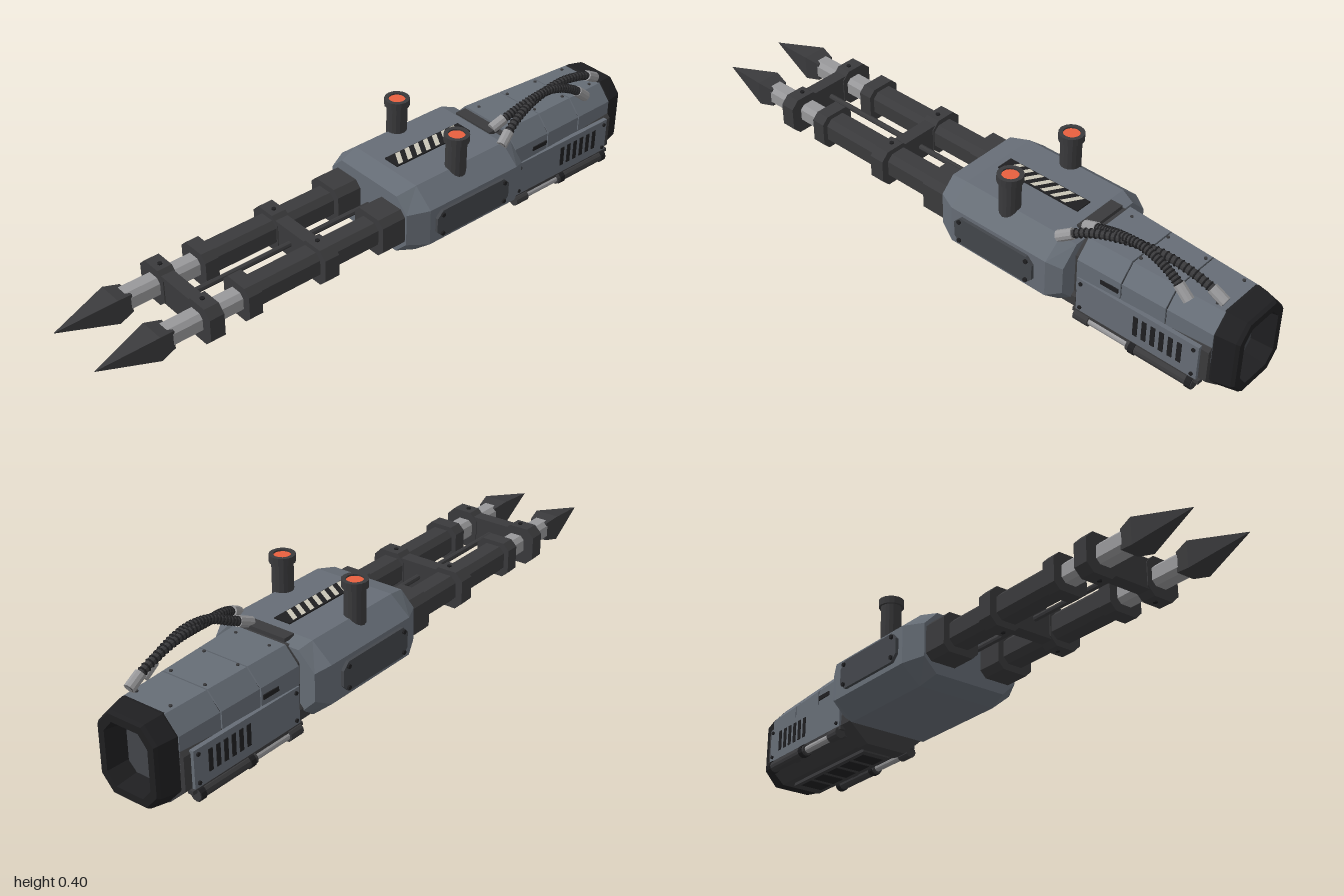
import * as THREE from 'three';

const mat = (color) => new THREE.MeshStandardMaterial({ color, flatShading: true });
const SLATE = mat(0x666d76), DARK = mat(0x3a3a3c), BLACK = mat(0x1f1f21);
const STEEL = mat(0x98989a), ORANGE = mat(0xe8603f), CREAM = mat(0xc9c5b6);
const PANEL = mat(0x43464b);

// Chamfered rectangle, counter-clockwise seen from the front
function oct(w, y0, y1, cx, cy = cx, bx = cx, by = cy, x = 0) {
  return [[w, y0 + by], [w, y1 - cy], [w - cx, y1], [cx - w, y1],
    [-w, y1 - cy], [-w, y0 + by], [bx - w, y0], [w - bx, y0]].map(([px, py]) => [px + x, py]);
}

// Skin over [z, outline] rings listed from front to back; both ends closed
function loft(rings) {
  const pos = [];
  const put = (r, j) => pos.push(...rings[r][1][j], rings[r][0]);
  const n = rings[0][1].length, last = rings.length - 1;
  for (let r = 0; r < last; r++) {
    for (let j = 0; j < n; j++) {
      const k = (j + 1) % n;
      put(r, j); put(r + 1, j); put(r + 1, k);
      put(r, j); put(r + 1, k); put(r, k);
    }
  }
  for (let j = 1; j < n - 1; j++) {
    put(0, 0); put(0, j); put(0, j + 1);
    put(last, 0); put(last, j + 1); put(last, j);
  }
  const g = new THREE.BufferGeometry();
  g.setAttribute('position', new THREE.Float32BufferAttribute(pos, 3));
  g.computeVertexNormals();
  return g;
}

export function createModel() {
  const model = new THREE.Group();
  const add = (name, geo, material, x = 0, y = 0, z = 0) => {
    const m = new THREE.Mesh(geo, material);
    m.name = name;
    m.position.set(x, y, z);
    model.add(m);
    return m;
  };
  const box = (name, material, w, h, d, x, y, z) => add(name, new THREE.BoxGeometry(w, h, d), material, x, y, z);
  // Cylinder lying along z between two depths
  const rod = (name, material, r, x, y, z0, z1, sides = 12) =>
    add(name, new THREE.CylinderGeometry(r, r, Math.abs(z1 - z0), sides).rotateX(Math.PI / 2), material, x, y, (z0 + z1) / 2);
  // Chamfered block between two depths
  const block = (name, material, w, y0, y1, c, z0, z1, x = 0) =>
    add(name, loft([[z0, oct(w, y0, y1, c, c, c, c, x)], [z1, oct(w, y0, y1, c, c, c, c, x)]]), material);

  // Front housing
  add('frontHousing', loft([
    [-0.015, oct(0.168, 0.08, 0.275, 0.045)],
    [-0.08, oct(0.2, 0.06, 0.29, 0.065, 0.055)],
    [-0.43, oct(0.2, 0.06, 0.29, 0.065, 0.055)],
    [-0.475, oct(0.178, 0.08, 0.275, 0.055)],
  ]), SLATE);
  box('topLatch', DARK, 0.15, 0.012, 0.04, 0, 0.288, -0.455);
  block('neck', DARK, 0.125, 0.03, 0.278, 0.04, -0.46, -0.5);

  // Hazard strip
  box('hazardPlate', BLACK, 0.056, 0.008, 0.296, 0, 0.29, -0.25);
  for (let i = 0; i < 7; i++) {
    const z = -0.392 + i * 0.037;
    const s = new THREE.Shape([[-0.025, -z - 0.03], [0.025, -z - 0.06], [0.025, -z - 0.042], [-0.025, -z - 0.012]]
      .map(([x, y]) => new THREE.Vector2(x, y)));
    add('hazardStripe', new THREE.ShapeGeometry(s).rotateX(-Math.PI / 2), CREAM, 0, 0.2955, 0);
  }

  // Arms, mirrored left and right
  for (const s of [1, -1]) {
    const x = 0.1 * s;
    block('armSocket', DARK, 0.062, 0.115, 0.24, 0.02, 0.07, -0.03, x);
    block('armBarrel', DARK, 0.042, 0.137, 0.221, 0.018, 0.51, 0.06, x);
    block('armCollar', DARK, 0.058, 0.122, 0.235, 0.02, 0.545, 0.5, x);
    block('armPiston', STEEL, 0.031, 0.148, 0.21, 0.013, 0.785, 0.54, x);
    const sq = (h) => [[x + h, 0.177 - h], [x + h, 0.177 + h], [x - h, 0.177 + h], [x - h, 0.177 - h]];
    add('spike', loft([[1, sq(0.0005)], [0.82, sq(0.04)], [0.77, sq(0.03)]]), DARK);
  }
  // Cross braces joining the arms
  for (const [z0, z1] of [[0.285, 0.235], [0.68, 0.632]]) {
    block('braceCore', DARK, 0.15, 0.133, 0.225, 0.02, z0 - 0.003, z1 + 0.003);
    for (const s of [1, -1]) {
      block('braceClamp', DARK, 0.056, 0.117, 0.237, 0.024, z0, z1, 0.109 * s);
      for (const y of [0.117, 0.237])
        add('braceBolt', new THREE.CylinderGeometry(0.007, 0.007, 0.008, 8), BLACK, 0.1 * s, y, (z0 + z1) / 2);
    }
  }
  rod('centreRod', DARK, 0.009, 0, 0.18, -0.02, 0.64, 8);

  for (const s of [1, -1]) {
    // Exhaust stacks
    const sx = 0.131 * s;
    add('stack', new THREE.CylinderGeometry(0.032, 0.032, 0.14, 16), DARK, sx, 0.31, -0.24);
    const rim = [[0.026, 0.392], [0.026, 0.4], [0.039, 0.4], [0.039, 0.377], [0.03, 0.377]].reverse();
    add('stackRim', new THREE.LatheGeometry(rim.map(([a, b]) => new THREE.Vector2(a, b)), 16), DARK, sx, 0, -0.24);
    add('stackGlow', new THREE.CylinderGeometry(0.0265, 0.0265, 0.02, 16), ORANGE, sx, 0.385, -0.24);

    // Housing side panel
    const c = 0.022, shape = new THREE.Shape(oct(0.145, -0.046, 0.046, c).map(([a, b]) => new THREE.Vector2(a, b)));
    const panel = new THREE.ExtrudeGeometry(shape, { depth: 0.014, bevelEnabled: false });
    add('sidePanel', panel, PANEL, s * 0.196, 0.177, -0.245).rotation.y = s * Math.PI / 2;
    for (const dz of [-0.125, 0.125]) for (const dy of [-0.033, 0.033])
      add('panelBolt', new THREE.CylinderGeometry(0.007, 0.007, 0.01, 8).rotateZ(Math.PI / 2), BLACK, s * 0.211, 0.177 + dy, -0.245 + dz);
  }

  // Rear casing: three armour segments over a dark frame
  const armour = (t) => oct(0.136 - 0.018 * t, 0.12, 0.288 - 0.012 * t, 0.045, 0.05, 0.01, 0.01);
  [[0, 0.33], [0.34, 0.66], [0.67, 1]].forEach(([a, b]) =>
    add('rearArmour', loft([[-0.49 - 0.44 * a, armour(a)], [-0.49 - 0.44 * b, armour(b)]]), SLATE));
  add('armourSeams', loft([[-0.492, oct(0.13, 0.125, 0.283, 0.045)], [-0.925, oct(0.113, 0.125, 0.271, 0.045)]]), BLACK);
  const under = oct(0.13, 0.012, 0.19, 0.02, 0.02, 0.06, 0.055);
  add('lowerFrame', loft([[-0.485, under], [-0.93, under]]), DARK);
  add('frameFlange', loft([[-0.44, oct(0.136, 0.008, 0.12, 0.02, 0.02, 0.066, 0.06)],
    [-0.49, oct(0.136, 0.008, 0.12, 0.02, 0.02, 0.066, 0.06)]]), DARK);

  // Belly plate with open slots
  box('bellyPlate', DARK, 0.1, 0.012, 0.4, 0, 0.008, -0.69);
  for (let i = 0; i < 5; i++) box('bellySlot', BLACK, 0.076, 0.004, 0.055, 0, 0.002, -0.54 - i * 0.075);

  for (const s of [1, -1]) {
    // Rear side plate, louvres and bolts
    box('rearSidePlate', SLATE, 0.014, 0.115, 0.41, s * 0.133, 0.122, -0.7);
    box('rearPlateRail', DARK, 0.018, 0.012, 0.43, s * 0.132, 0.06, -0.7);
    for (let i = 0; i < 6; i++) box('louvre', BLACK, 0.006, 0.066, 0.015, s * 0.139, 0.127, -0.7 - i * 0.029);
    for (const z of [-0.51, -0.89]) for (const y of [0.08, 0.165])
      add('rearPlateBolt', new THREE.CylinderGeometry(0.006, 0.006, 0.01, 8).rotateZ(Math.PI / 2), BLACK, s * 0.14, y, z);
    box('rearHatch', BLACK, 0.004, 0.014, 0.06, s * 0.133, 0.205, -0.6);

    // Side hydraulic tubes
    rod('tubeRod', STEEL, 0.012, s * 0.135, 0.046, -0.52, -0.7);
    rod('tubeCylinder', DARK, 0.018, s * 0.135, 0.046, -0.68, -0.9);
    rod('tubeFoot', DARK, 0.018, s * 0.135, 0.046, -0.495, -0.545);
    for (const z of [-0.69, -0.88]) rod('tubeBand', BLACK, 0.021, s * 0.135, 0.046, z, z - 0.018);
    for (const z of [-0.52, -0.78]) box('tubeBracket', DARK, 0.035, 0.02, 0.03, s * 0.115, 0.052, z);
    // Top rivets
    for (let i = 0; i < 4; i++)
      add('rivet', new THREE.CylinderGeometry(0.005, 0.005, 0.006, 8), DARK, s * 0.06, 0.287 - i * 0.003, -0.52 - i * 0.125);
  }

  // Hollow rear muzzle
  add('rearMuzzle', loft([
    [-0.915, oct(0.112, 0.02, 0.274, 0.045, 0.05)],
    [-0.935, oct(0.116, 0.016, 0.278, 0.045, 0.05)],
    [-0.99, oct(0.104, 0.022, 0.27, 0.042, 0.047)],
    [-1, oct(0.098, 0.028, 0.264, 0.04, 0.045)],
    [-1, oct(0.077, 0.05, 0.242, 0.03, 0.035)],
    [-0.932, oct(0.066, 0.062, 0.23, 0.026, 0.03)],
  ]), BLACK);
  add('muzzleFloor', loft([[-0.93, oct(0.064, 0.064, 0.228, 0.026)], [-0.936, oct(0.064, 0.064, 0.228, 0.026)]]), PANEL);

  // Ribbed hoses with steel end fittings
  const hoses = [
    [[0.06, 0.295, -0.92], [0.063, 0.325, -0.86], [0.072, 0.352, -0.74], [0.09, 0.345, -0.6], [0.115, 0.325, -0.5], [0.14, 0.285, -0.42]],
    [[0.1, 0.28, -0.83], [0.095, 0.325, -0.77], [0.09, 0.357, -0.68], [0.085, 0.35, -0.59], [0.072, 0.325, -0.53], [0.062, 0.295, -0.46]],
  ];
  for (const pts of hoses) {
    const curve = new THREE.CatmullRomCurve3(pts.map((p) => new THREE.Vector3(...p)));
    add('hose', new THREE.TubeGeometry(curve, 48, 0.012, 10), DARK);
    for (let i = 3; i < 33; i++) {
      const t = i / 35;
      const rib = add('hoseRib', new THREE.TorusGeometry(0.012, 0.003, 5, 10), BLACK);
      rib.position.copy(curve.getPointAt(t));
      rib.lookAt(rib.position.clone().add(curve.getTangentAt(t)));
    }
    for (const t of [0.05, 0.95]) {
      const fit = add('hoseFitting', new THREE.CylinderGeometry(0.017, 0.017, 0.05, 10).rotateX(Math.PI / 2), STEEL);
      fit.position.copy(curve.getPointAt(t));
      fit.lookAt(fit.position.clone().add(curve.getTangentAt(t)));
    }
  }
  return model;
}
